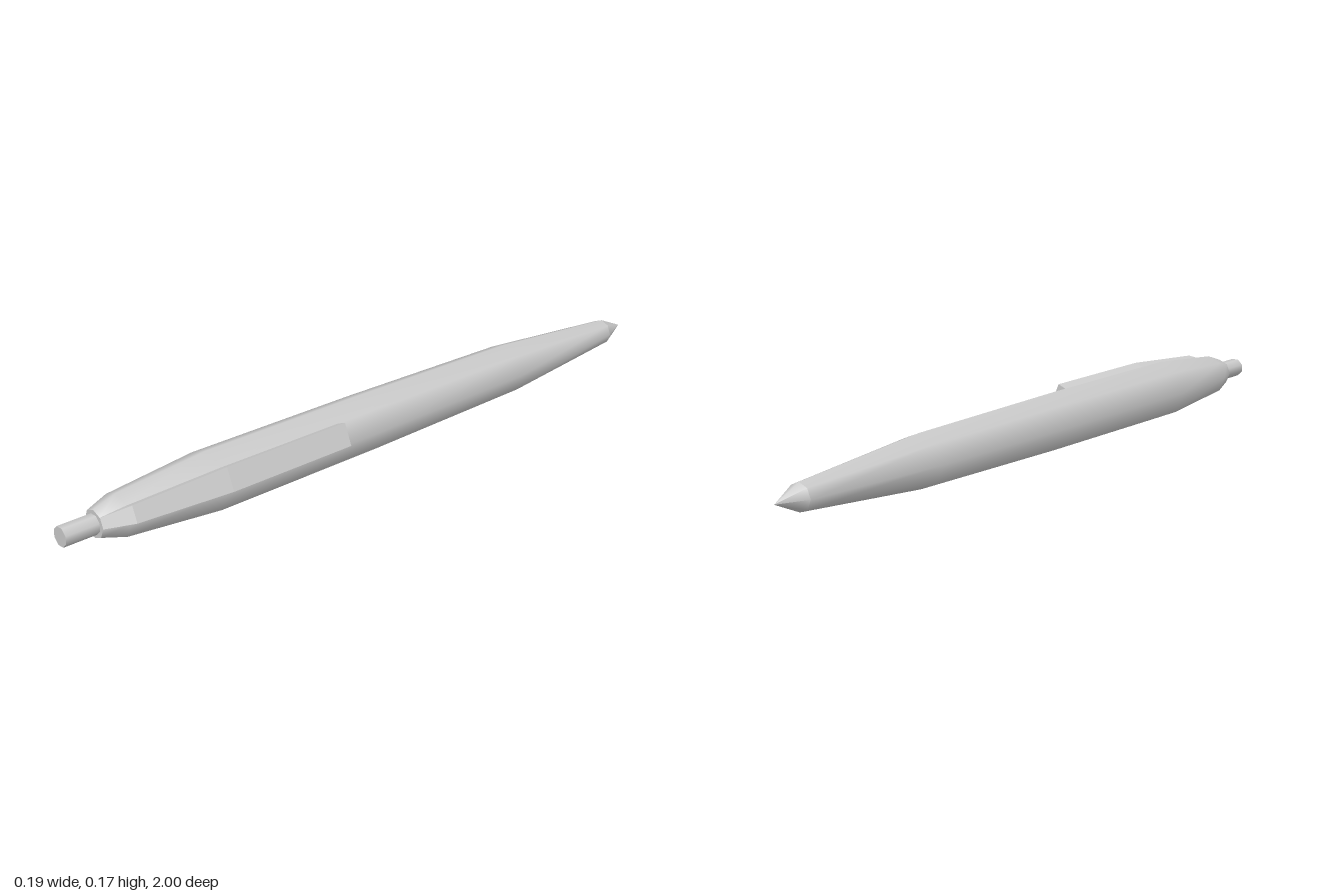
import * as THREE from 'three';

const CX = -0.015, CY = 0.083, SIDES = 8;

export function createModel() {
  const group = new THREE.Group();
  const material = new THREE.MeshStandardMaterial({ color: 0xcccccc });

  function add(name, geometry) {
    const mesh = new THREE.Mesh(geometry, material);
    mesh.name = name;
    mesh.position.set(CX, CY, 0);
    group.add(mesh);
  }

  // Eight-sided turned part along z; profile is [radius, z] with rising z
  function turned(name, profile) {
    const geometry = new THREE.LatheGeometry(profile.map(([r, z]) => new THREE.Vector2(r, z)), SIDES);
    add(name, geometry.rotateX(Math.PI / 2));
  }

  turned('writingTip', [[0, -1], [0.036, -0.92]]);
  turned('barrel', [[0.036, -0.92], [0.072, -0.5], [0.081, 0.05], [0.083, 0.57], [0.059, 0.84], [0.038, 0.905]]);
  turned('barrelEnd', [[0.038, 0.905], [0, 0.905]]);

  // Push button
  const button = new THREE.CylinderGeometry(0.027, 0.027, 0.11, SIDES);
  add('pushButton', button.rotateY(Math.PI / 8).rotateX(Math.PI / 2).translate(0, 0, 0.945));

  // Pocket clip: one barrel facet raised outward, stations are [z, barrel radius, height]
  const stations = [[0.185, 0.0815, 0.03], [0.57, 0.083, 0.03], [0.84, 0.059, 0.03], [0.905, 0.038, 0.001]];
  const out = new THREE.Vector3(Math.cos(Math.PI / 8), Math.sin(Math.PI / 8), 0);
  const rings = stations.map(([z, r, h]) => {
    const low = new THREE.Vector3(r, 0, z);
    const high = new THREE.Vector3(r * Math.SQRT1_2, r * Math.SQRT1_2, z);
    const raise = (p, d) => p.clone().addScaledVector(out, d);
    return [raise(low, -0.002), raise(low, h), raise(high, h), raise(high, -0.002)];
  });
  const positions = [];
  const quad = (a, b, c, d) => [a, b, c, a, c, d].forEach((p) => positions.push(p.x, p.y, p.z));
  for (let i = 0; i < rings.length - 1; i++) {
    for (let k = 0; k < 4; k++) {
      const n = (k + 1) % 4;
      quad(rings[i][k], rings[i][n], rings[i + 1][n], rings[i + 1][k]);
    }
  }
  quad(...[...rings[0]].reverse());
  quad(...rings[rings.length - 1]);
  const clip = new THREE.BufferGeometry();
  clip.setAttribute('position', new THREE.Float32BufferAttribute(positions, 3));
  clip.computeVertexNormals();
  add('pocketClip', clip);

  return group;
}
